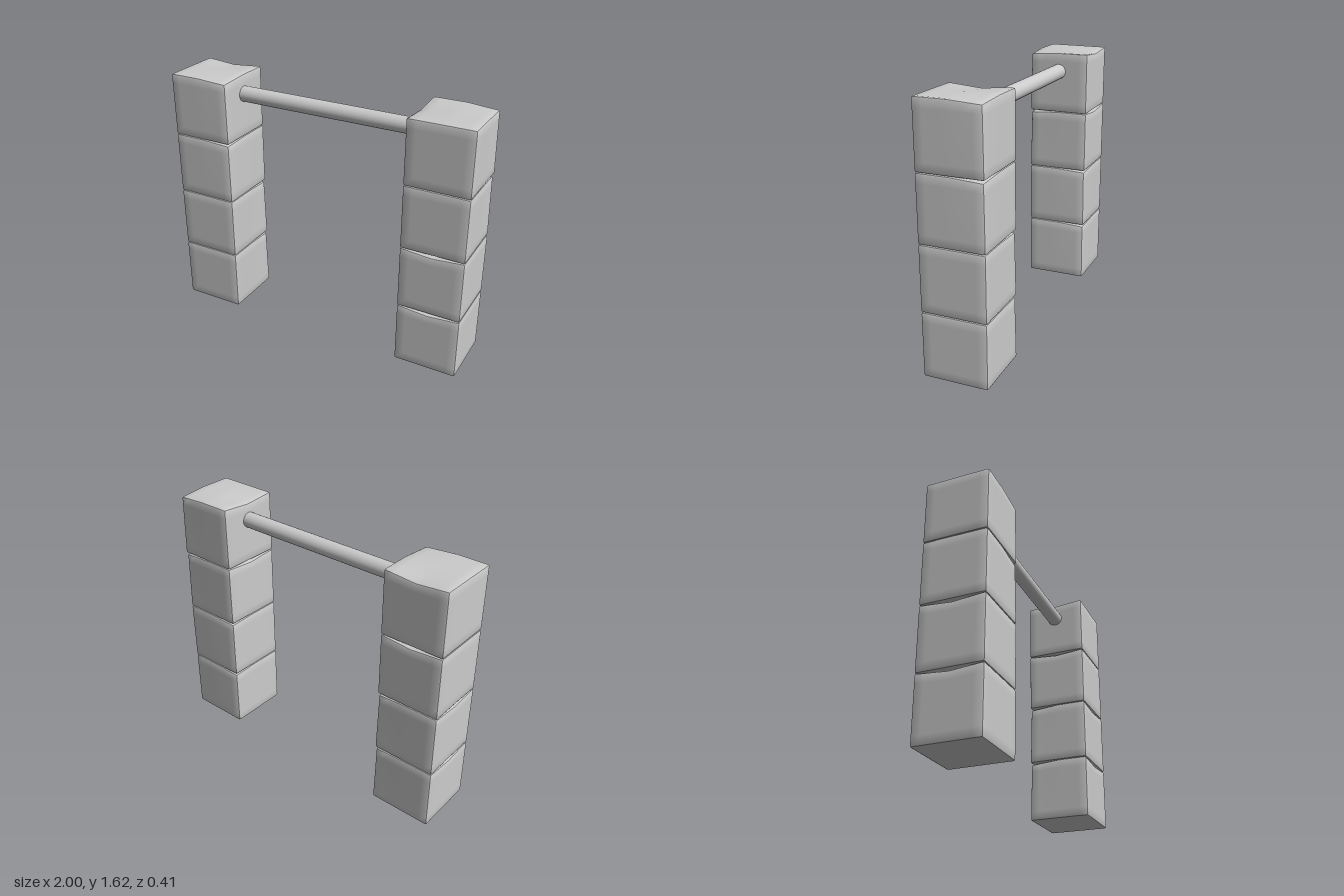
import * as THREE from 'three';
import { mergeVertices, toCreasedNormals } from 'three/addons/utils/BufferGeometryUtils.js';

const SIZE = 0.405, HALF = SIZE / 2, BEVEL = 0.012, SEG = 10;

// Bevelled block with a sagging top edge (+z) and one worn corner (-x, -z)
function wornBlock() {
  const geo = new THREE.BoxGeometry(SEG, SEG, SEG, SEG, SEG, SEG);
  const pos = geo.attributes.position;
  const outer = SEG / 2;
  const p = [0, 0, 0];
  for (let i = 0; i < pos.count; i++) {
    const g = [pos.getX(i), pos.getY(i), pos.getZ(i)].map(Math.round);
    const rim = g.filter((v) => Math.abs(v) === outer).length;
    const pull = [0, 0, 0.3, 0.43][rim] * BEVEL;
    for (let k = 0; k < 3; k++) {
      p[k] = Math.abs(g[k]) === outer
        ? Math.sign(g[k]) * (HALF - pull)
        : (g[k] / (outer - 1)) * (HALF - BEVEL);
    }
    const [x, y, z] = p.map((v) => v / HALF);
    const up = Math.max(0, y) ** 2;
    const sag = 0.018 * (1 - Math.abs(x)) * Math.max(0, z) * up;
    const corner = Math.max(0, -x) * Math.max(0, -z);
    pos.setXYZ(i,
      p[0] + 0.006 * corner * (0.5 + y / 2),
      p[1] - sag - 0.014 * corner * up,
      p[2] + 0.006 * corner * (0.5 + y / 2));
  }
  geo.deleteAttribute('normal');
  geo.deleteAttribute('uv');
  return toCreasedNormals(mergeVertices(geo), 0.6);
}

export function createModel() {
  const group = new THREE.Group();
  const material = new THREE.MeshStandardMaterial({ color: 0xcccccc });
  const block = wornBlock();

  // Two stacked posts; blocks are quarter-turned so the wear varies
  const posts = [
    { name: 'rightPost', x: -1 + HALF, turns: [3, 3, 2, 2] },
    { name: 'leftPost', x: 1 - HALF, turns: [0, 0, 3, 3] },
  ];
  for (const { name, x, turns } of posts) {
    const post = new THREE.Group();
    post.name = name;
    post.position.x = x;
    turns.forEach((turn, row) => {
      const mesh = new THREE.Mesh(block, material);
      mesh.name = 'block' + (row + 1);
      mesh.position.y = HALF + row * SIZE;
      mesh.rotation.y = (turn * Math.PI) / 2;
      post.add(mesh);
    });
    group.add(post);
  }

  // Round crossbar between the top blocks
  const bar = new THREE.Mesh(new THREE.CylinderGeometry(0.05, 0.05, 1.22, 32), material);
  bar.name = 'crossbar';
  bar.rotation.z = Math.PI / 2;
  bar.position.set(0, 1.495, 0);
  group.add(bar);

  return group;
}
